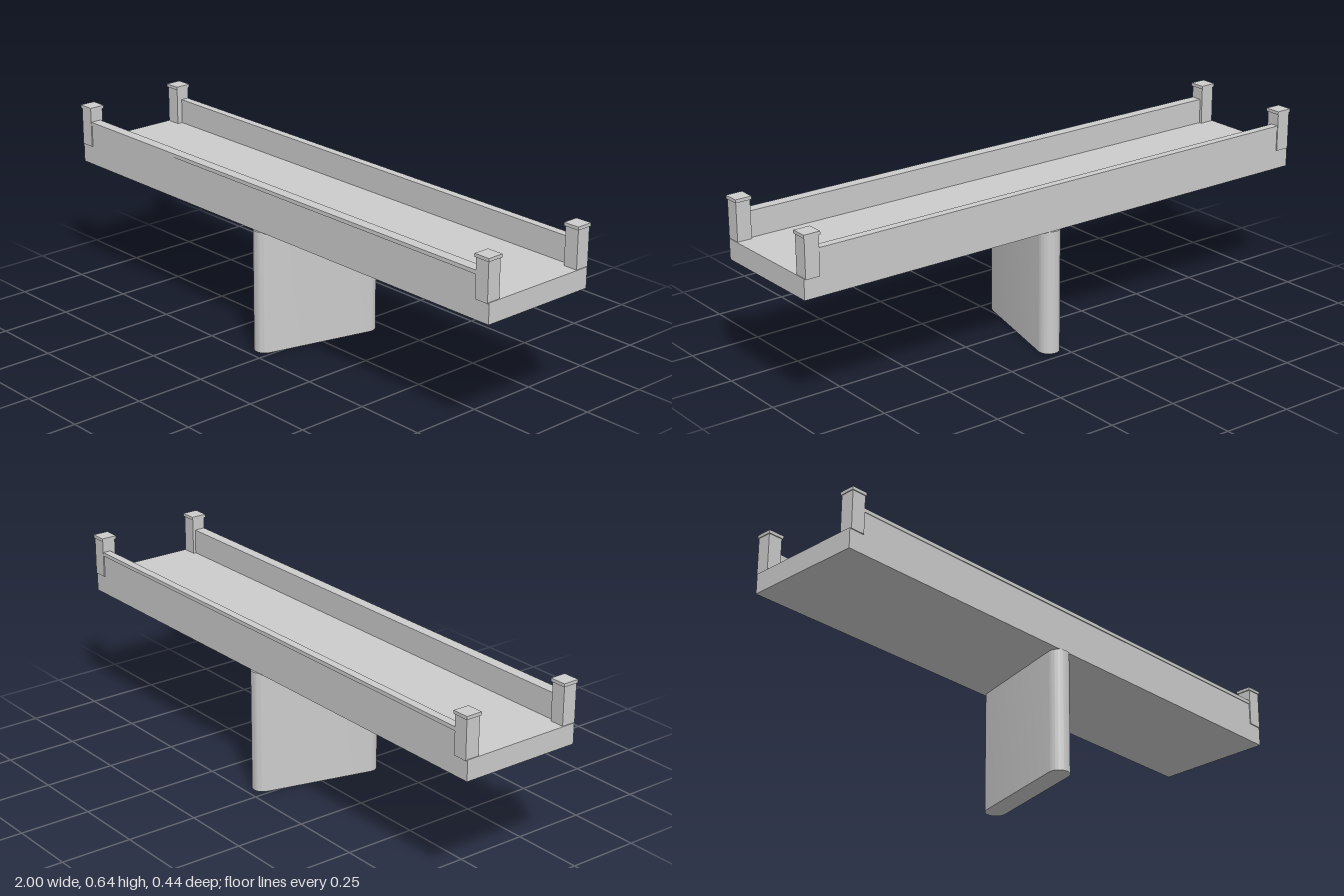
import * as THREE from 'three';
import { toCreasedNormals } from 'three/addons/utils/BufferGeometryUtils.js';

export function createModel() {
  const model = new THREE.Group();
  model.name = 'bridgeSection';
  const concrete = new THREE.MeshStandardMaterial({ color: 0xcccccc });
  concrete.name = 'concrete';

  const add = (name, geometry) => {
    const mesh = new THREE.Mesh(geometry, concrete);
    mesh.name = name;
    model.add(mesh);
  };
  // Box given by its lower and upper limits on each axis
  const box = (name, [x0, x1], [y0, y1], [z0, z1]) => {
    const g = new THREE.BoxGeometry(x1 - x0, y1 - y0, Math.abs(z1 - z0));
    g.translate((x0 + x1) / 2, (y0 + y1) / 2, (z0 + z1) / 2);
    add(name, g);
  };

  // Deck slab
  box('deck', [-1, 1], [0.43, 0.5], [-0.214, 0.215]);

  // Pier: a skewed wall with rounded ends
  const hx = 0.046, hz = 0.185, r = 0.037, height = 0.43;
  const a = Math.atan2(hz, hx);
  const plan = new THREE.Shape();
  plan.absarc(hx, hz, r, a - Math.PI / 2, a + Math.PI / 2, false);
  plan.absarc(-hx, -hz, r, a + Math.PI / 2, a + Math.PI * 1.5, false);
  plan.closePath();
  const pier = new THREE.ExtrudeGeometry(plan, { depth: height, bevelEnabled: false, curveSegments: 20 });
  pier.rotateX(-Math.PI / 2);
  add('pier', toCreasedNormals(pier, 0.6));

  for (const s of [1, -1]) {
    const side = s > 0 ? 'front' : 'back';
    const inner = s > 0 ? 0.179 : 0.189;

    // Parapet wall and its slightly projecting coping
    box(side + 'Parapet', [-0.97, 0.97], [0.498, 0.575], [s * inner, s * 0.215]);
    box(side + 'Coping', [-0.97, 0.97], [0.575, 0.588], [s * inner, s * 0.218]);

    // End posts with flat caps
    for (const e of [1, -1]) {
      const end = e > 0 ? 'Left' : 'Right';
      const span = (p, q) => (e > 0 ? [p, q] : [-q, -p]);
      box(side + end + 'Post', span(0.946, 0.997), [0.497, 0.631], [s * 0.169, s * 0.219]);
      box(side + end + 'PostCap', span(0.942, 1), [0.63, 0.641], [s * 0.165, s * 0.222]);
    }
  }
  return model;
}
